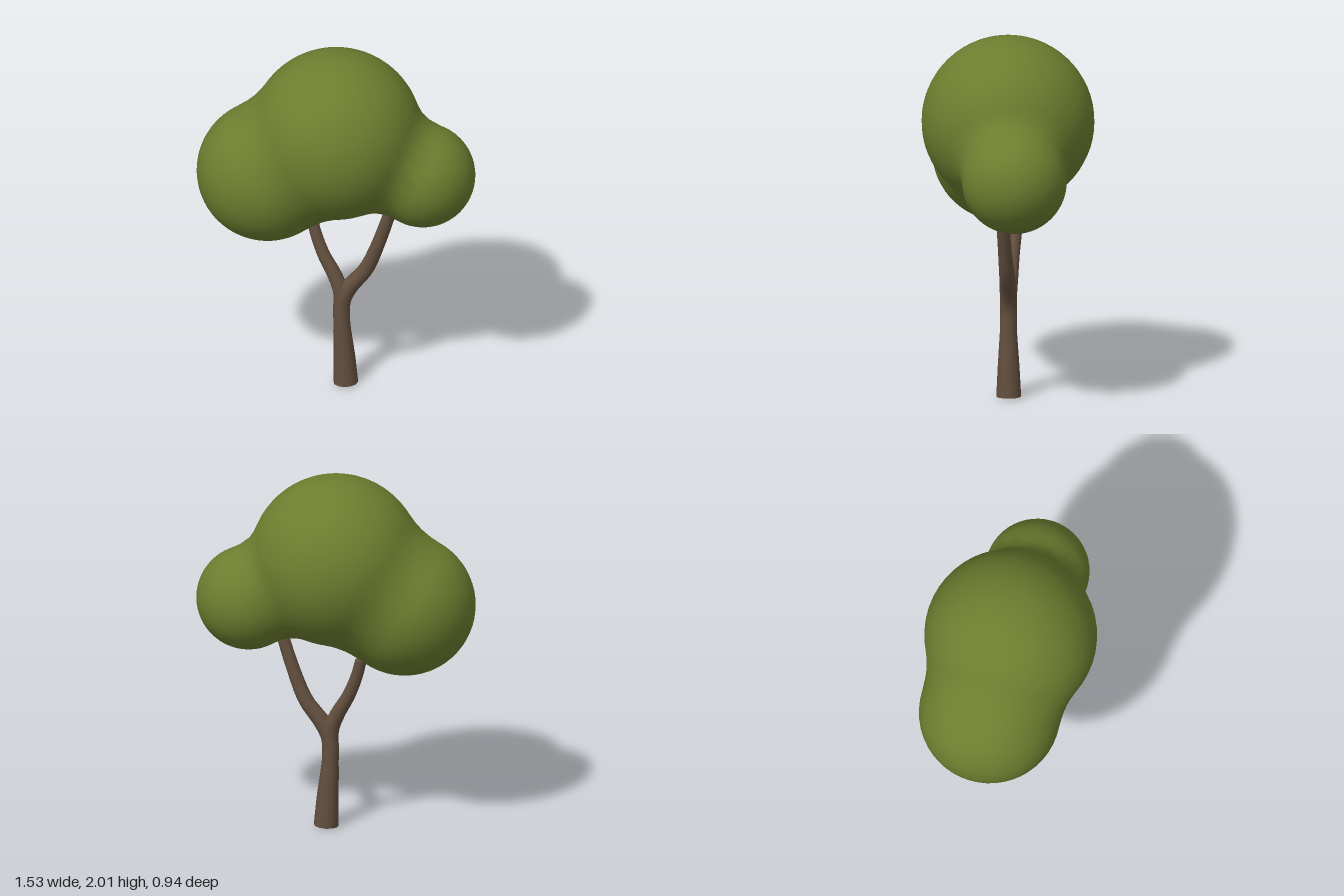
import * as THREE from 'three';

const leafGreen = new THREE.MeshStandardMaterial({ color: 0x6c7d2f });
leafGreen.name = 'leaf green';
const barkBrown = new THREE.MeshStandardMaterial({ color: 0x64503f });
barkBrown.name = 'bark brown';

// Crown lobes: centre and radius
const lobes = [
  { name: 'mainCrown', c: new THREE.Vector3(0, 1.53, 0), r: 0.472 },
  { name: 'rightCrown', c: new THREE.Vector3(-0.377, 1.28, 0), r: 0.387 },
  { name: 'leftCrown', c: new THREE.Vector3(0.477, 1.302, 0), r: 0.286 },
];

// Distance to the softly blended union of all lobes
const BLEND = 0.12;
function crownDistance(p) {
  let d = Infinity;
  for (const { c, r } of lobes) {
    const e = p.distanceTo(c) - r;
    const h = Math.max(BLEND - Math.abs(d - e), 0);
    d = Math.min(d, e) - (h * h) / (4 * BLEND);
  }
  return d;
}

function crownNormal(p) {
  const s = 0.002;
  const slope = (axis) => {
    const a = p.clone(), b = p.clone();
    a[axis] += s;
    b[axis] -= s;
    return crownDistance(a) - crownDistance(b);
  };
  return new THREE.Vector3(slope('x'), slope('y'), slope('z')).normalize();
}

// A sphere whose skin swells outward to meet its neighbours smoothly
function crownLobe({ name, c, r }) {
  const geo = new THREE.SphereGeometry(1, 48, 32);
  const pos = geo.attributes.position;
  const dir = new THREE.Vector3(), p = new THREE.Vector3();
  for (let i = 0; i < pos.count; i++) {
    dir.fromBufferAttribute(pos, i).normalize();
    let t = r;
    for (let k = 0; k < 10; k++) {
      p.copy(c).addScaledVector(dir, t);
      t = Math.min(t - crownDistance(p), r * 1.25);
    }
    p.copy(c).addScaledVector(dir, t);
    pos.setXYZ(i, p.x, p.y, p.z);
    const n = crownNormal(p);
    geo.attributes.normal.setXYZ(i, n.x, n.y, n.z);
  }
  const mesh = new THREE.Mesh(geo, leafGreen);
  mesh.name = name;
  return mesh;
}

// Tapered limb through [x, y, z, radius] stations, rising in y
function limb(name, stations) {
  const curve = new THREE.CatmullRomCurve3(stations.map(([x, y, z]) => new THREE.Vector3(x, y, z)), false, 'centripetal');
  const radiusAt = (y) => {
    let i = 0;
    while (i < stations.length - 2 && y > stations[i + 1][1]) i++;
    const a = stations[i], b = stations[i + 1];
    return THREE.MathUtils.mapLinear(THREE.MathUtils.clamp(y, a[1], b[1]), a[1], b[1], a[3], b[3]);
  };
  const steps = 24, sides = 12;
  const geo = new THREE.TubeGeometry(curve, steps, 1, sides);
  const pos = geo.attributes.position;
  const v = new THREE.Vector3();
  for (let i = 0; i <= steps; i++) {
    const centre = curve.getPointAt(i / steps);
    const r = radiusAt(centre.y);
    for (let j = 0; j <= sides; j++) {
      const k = i * (sides + 1) + j;
      v.fromBufferAttribute(pos, k).sub(centre).multiplyScalar(r).add(centre);
      pos.setXYZ(k, v.x, v.y, v.z);
    }
  }
  const group = new THREE.Group();
  group.name = name;
  const skin = new THREE.Mesh(geo, barkBrown);
  skin.name = name + 'Bark';
  // Rounded tip
  const [x, y, z, r] = stations[stations.length - 1];
  const tip = new THREE.Mesh(new THREE.SphereGeometry(r, 12, 8), barkBrown);
  tip.name = name + 'Tip';
  tip.position.set(x, y, z);
  tip.scale.y = 0.7;
  group.add(skin, tip);
  return group;
}

export function createModel() {
  const tree = new THREE.Group();
  tree.name = 'tree';

  // Trunk flowing into the left branch
  tree.add(limb('trunkAndLeftBranch', [
    [0.053, 0, 0, 0.068],
    [0.045, 0.16, 0, 0.06],
    [0.031, 0.37, 0, 0.046],
    [0.034, 0.5, 0, 0.046],
    [0.075, 0.59, 0.004, 0.047],
    [0.165, 0.71, 0.018, 0.042],
    [0.235, 0.88, 0.036, 0.037],
    [0.3, 1.08, 0.054, 0.034],
    [0.33, 1.17, 0.062, 0.033],
  ]));

  // Right branch growing out of the fork
  tree.add(limb('rightBranch', [
    [0.031, 0.44, 0, 0.043],
    [0.024, 0.56, -0.004, 0.044],
    [-0.012, 0.65, -0.016, 0.041],
    [-0.072, 0.76, -0.033, 0.036],
    [-0.118, 0.88, -0.052, 0.033],
    [-0.142, 0.975, -0.066, 0.031],
  ]));

  // Underside of the trunk
  const base = new THREE.Mesh(new THREE.CircleGeometry(0.068, 12), barkBrown);
  base.name = 'trunkBase';
  base.rotation.x = Math.PI / 2;
  base.position.set(0.053, 0, 0);
  tree.add(base);

  // Leafy crown
  const crown = new THREE.Group();
  crown.name = 'crown';
  lobes.forEach((lobe) => crown.add(crownLobe(lobe)));
  tree.add(crown);
  return tree;
}
